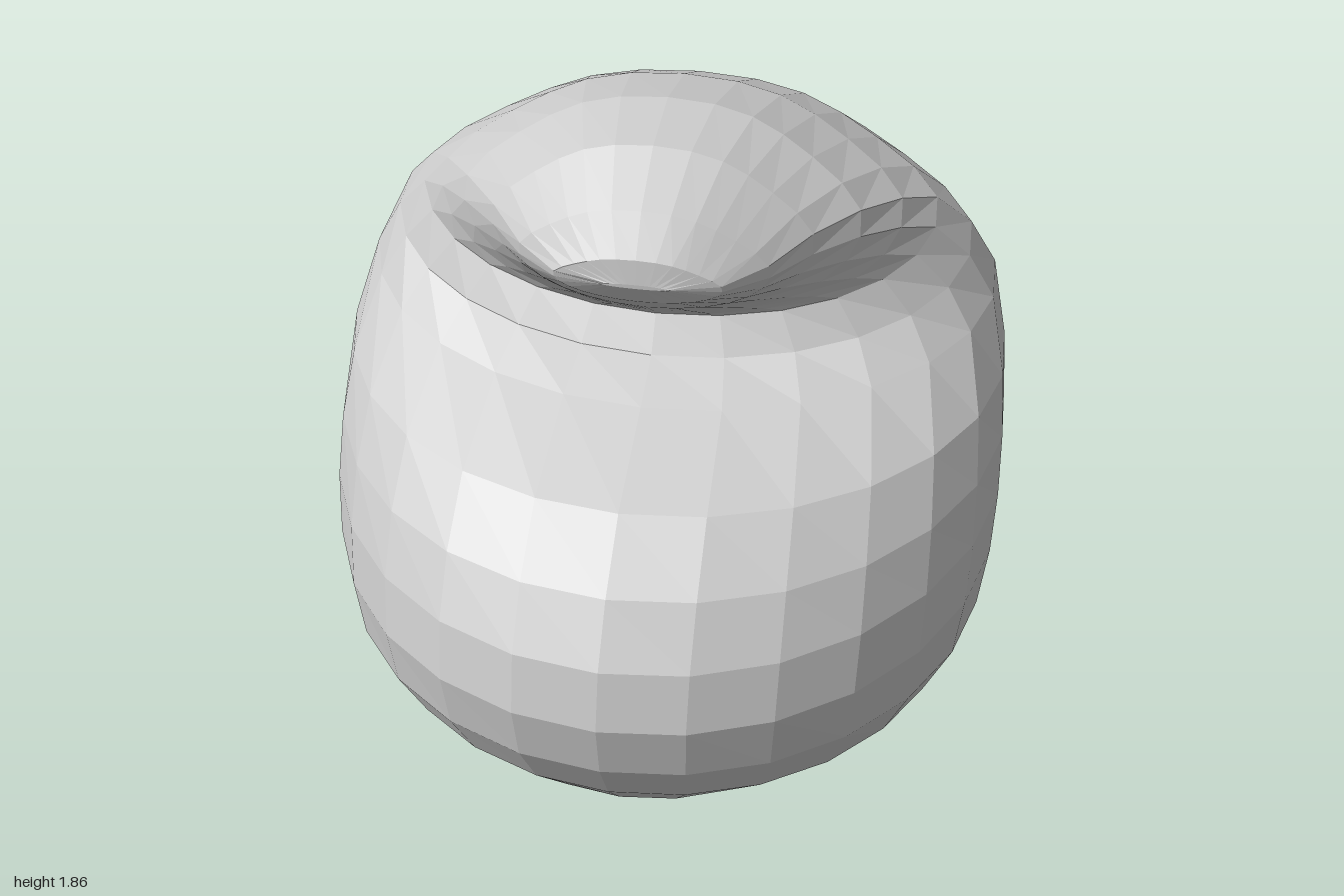
import * as THREE from 'three';

// Cross-sections from the curled tip down to the base:
// [front z, front y, back z, back y, half width]
const SECTIONS = [
  [0.47, 1.58, 0.47, 1.59, 0.08],
  [0.43, 1.52, 0.46, 1.65, 0.20],
  [0.35, 1.455, 0.39, 1.74, 0.30],
  [0.29, 1.41, 0.24, 1.83, 0.39],
  [0.25, 1.38, 0.05, 1.86, 0.49],
  [0.23, 1.365, -0.18, 1.81, 0.58],
  [0.22, 1.355, -0.40, 1.71, 0.66],
  [0.28, 1.27, -0.60, 1.58, 0.75],
  [0.42, 1.21, -0.80, 1.38, 0.82],
  [0.70, 1.10, -0.92, 1.14, 0.865],
  [0.86, 0.97, -0.975, 0.97, 0.88],
  [0.96, 0.83, -1.00, 0.81, 0.885],
  [1.00, 0.68, -0.965, 0.64, 0.88],
  [0.97, 0.52, -0.89, 0.46, 0.86],
  [0.88, 0.36, -0.78, 0.30, 0.79],
  [0.75, 0.21, -0.62, 0.17, 0.60],
  [0.50, 0.10, -0.46, 0.10, 0.41],
  [0.28, 0.05, -0.20, 0.05, 0.25],
  [0.04, 0.00, 0.04, 0.00, 0.00],
];
const SIDES = 26;

// Point on a section's oval; the rear half is slightly tapered
function ovalPoint([fz, fy, bz, by, w], angle) {
  const c = Math.cos(angle);
  const taper = c < 0 ? 1 - 0.13 * Math.sin(2 * angle) ** 2 : 1;
  return [
    w * Math.sin(angle) * taper,
    (fy + by) / 2 + (c * (fy - by)) / 2,
    (fz + bz) / 2 + (c * (fz - bz)) / 2,
  ];
}

function loft(sections) {
  const positions = [];
  const index = [];
  for (const s of sections) {
    for (let j = 0; j < SIDES; j++) positions.push(...ovalPoint(s, (j / SIDES) * Math.PI * 2));
  }
  for (let i = 0; i < sections.length - 1; i++) {
    for (let j = 0; j < SIDES; j++) {
      const k = (j + 1) % SIDES;
      const tl = i * SIDES + j, tr = i * SIDES + k;
      const bl = tl + SIDES, br = tr + SIDES;
      index.push(tl, bl, br);
      if (i < sections.length - 1) index.push(tl, br, tr);
    }
  }
  // Close the tip with a fan
  for (let j = 1; j < SIDES - 1; j++) index.push(0, j, j + 1);
  const geometry = new THREE.BufferGeometry();
  geometry.setAttribute('position', new THREE.Float32BufferAttribute(positions, 3));
  geometry.setIndex(index);
  geometry.computeVertexNormals();
  return geometry;
}

export function createModel() {
  const group = new THREE.Group();
  group.name = 'curledShell';
  // One continuous faceted body with the hood curling over the front
  const material = new THREE.MeshStandardMaterial({
    color: 0xcccccc, flatShading: true, side: THREE.DoubleSide,
  });
  const body = new THREE.Mesh(loft(SECTIONS), material);
  body.name = 'shellBody';
  group.add(body);
  return group;
}
